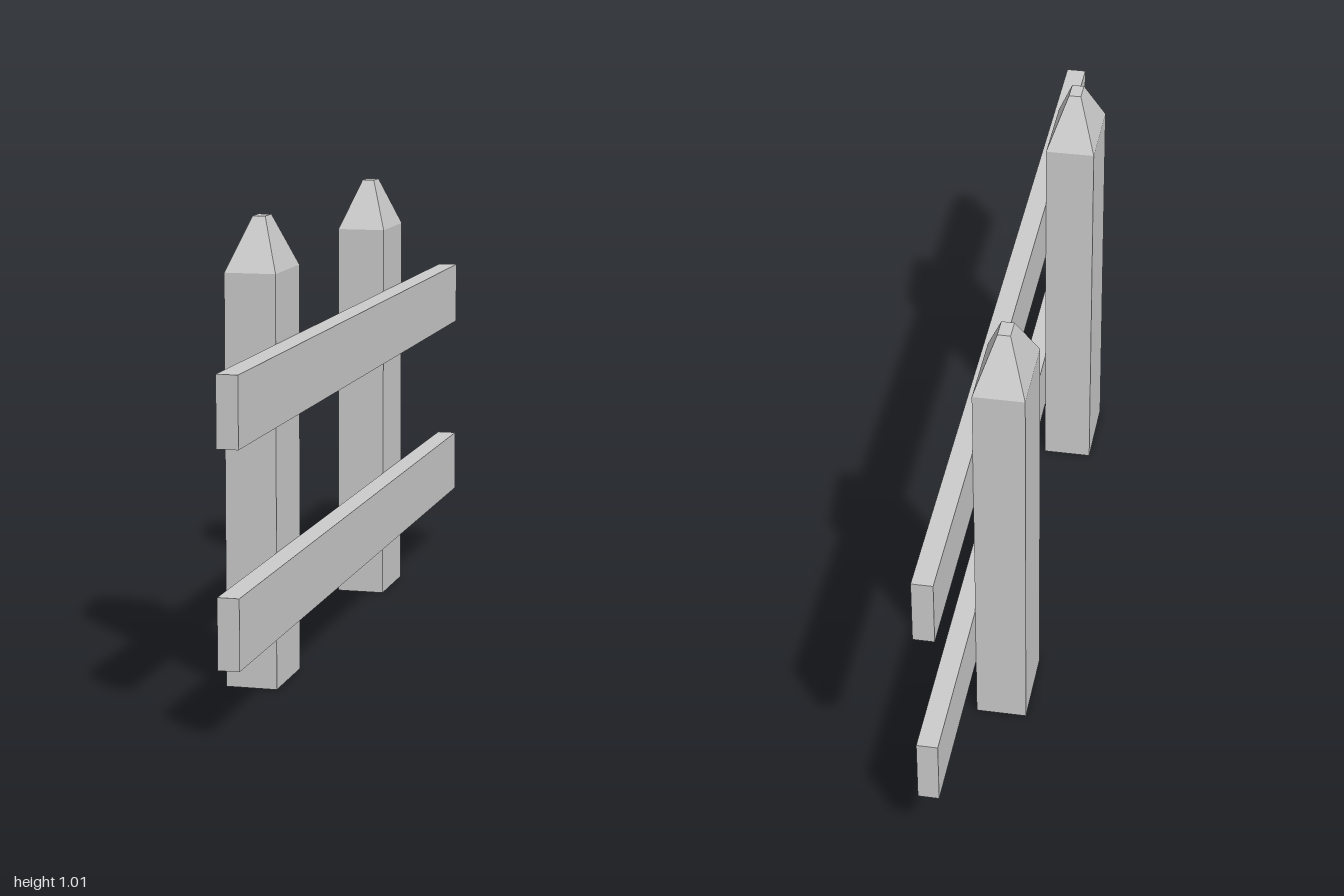
import * as THREE from 'three';

const material = new THREE.MeshStandardMaterial({ color: 0xcccccc, flatShading: true });

// Square-cut post whose upper section tapers to a small flat tip
function postGeometry(width, depth, shoulder, height, tipWidth, tipDepth) {
  const box = new THREE.BoxGeometry(width, height, depth, 1, 2, 1);
  const pos = box.attributes.position;
  for (let i = 0; i < pos.count; i++) {
    const level = Math.round(pos.getY(i) / (height / 2)) + 1; // 0 foot, 1 shoulder, 2 tip
    pos.setY(i, [0, shoulder, height][level]);
    if (level === 2) {
      pos.setX(i, Math.sign(pos.getX(i)) * tipWidth / 2);
      pos.setZ(i, Math.sign(pos.getZ(i)) * tipDepth / 2);
    }
  }
  const geometry = box.toNonIndexed();
  geometry.computeVertexNormals();
  return geometry;
}

export function createModel() {
  const fence = new THREE.Group();
  fence.name = 'fence';

  const add = (name, geometry, x, y, z) => {
    const mesh = new THREE.Mesh(geometry, material);
    mesh.name = name;
    mesh.position.set(x, y, z);
    fence.add(mesh);
  };

  // Two pointed posts
  const post = postGeometry(0.113, 0.188, 0.9, 1.015, 0.028, 0.048);
  add('frontPost', post, -0.0235, 0, 0.476);
  add('backPost', post, -0.0235, 0, -0.476);

  // Two horizontal rails fixed to the left face of the posts
  const rail = new THREE.BoxGeometry(0.046, 0.15, 2);
  add('lowerRail', rail, 0.056, 0.226, 0);
  add('upperRail', rail, 0.056, 0.676, 0);

  return fence;
}
